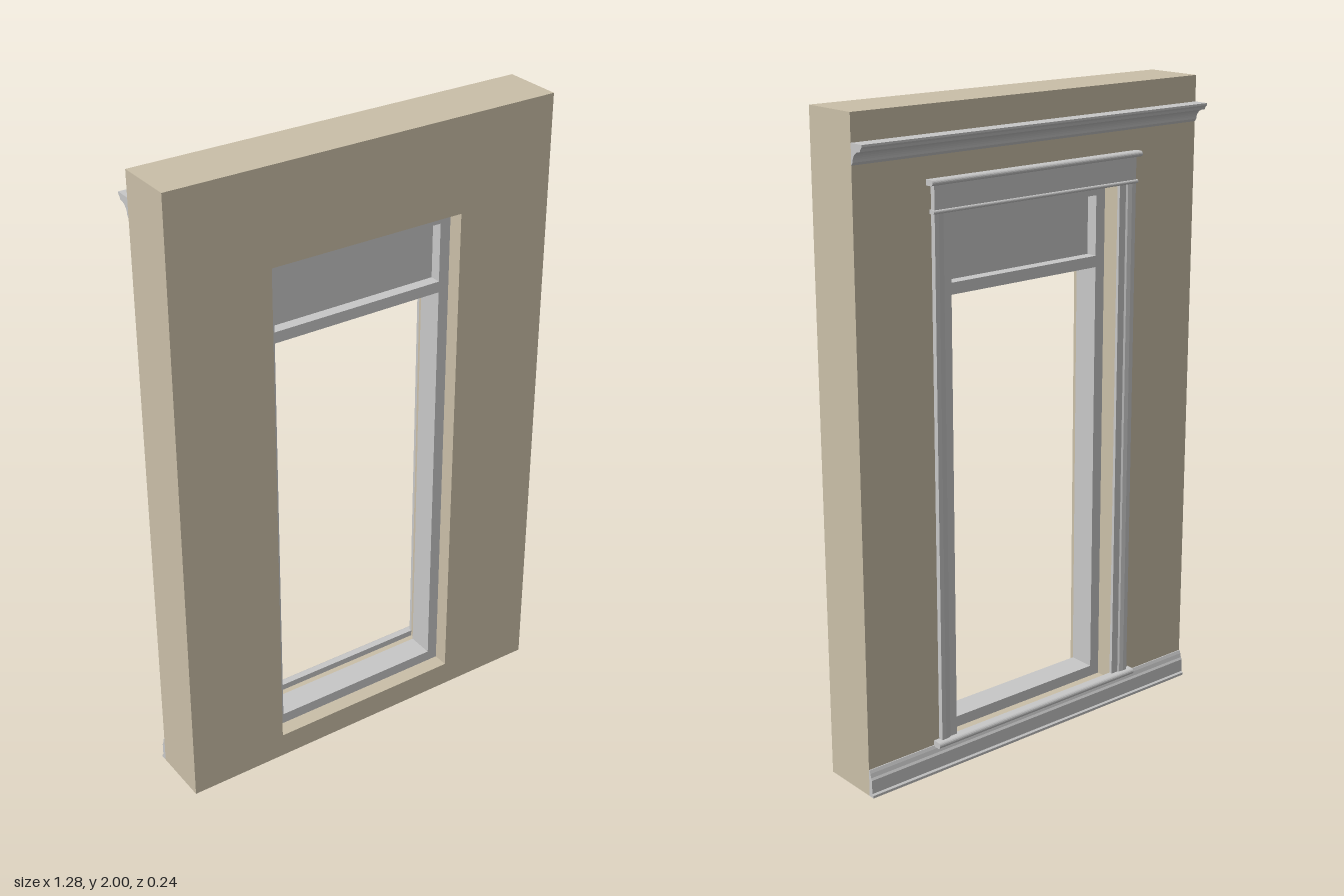
import * as THREE from 'three';

const plaster = new THREE.MeshStandardMaterial({ color: 0xcabfa8 });
plaster.name = 'plaster beige';
const trim = new THREE.MeshStandardMaterial({ color: 0xc8c8c8 });
trim.name = 'trim grey';

const BACK = 0.07; // the wall's moulded face lies at z = -BACK

function rect(path, x0, y0, x1, y1) {
  path.moveTo(x0, y0);
  path.lineTo(x1, y0);
  path.lineTo(x1, y1);
  path.lineTo(x0, y1);
  path.closePath();
  return path;
}

function add(group, name, geometry, material) {
  const mesh = new THREE.Mesh(geometry, material);
  mesh.name = name;
  group.add(mesh);
  return mesh;
}

// Flat panel with rectangular openings, between two depths
function pierced(outer, holes, zBack, zFront) {
  const shape = rect(new THREE.Shape(), ...outer);
  for (const h of holes) shape.holes.push(rect(new THREE.Path(), ...h));
  return new THREE.ExtrudeGeometry(shape, { depth: zFront - zBack, bevelEnabled: false }).translate(0, 0, zBack);
}

const toShape = (points) => new THREE.Shape(points.map(([a, b]) => new THREE.Vector2(a, b)));

// Horizontal moulding: profile of [projection, height], run along x
function moulding(points, halfWidth) {
  return new THREE.ExtrudeGeometry(toShape(points), { depth: halfWidth * 2, bevelEnabled: false })
    .rotateY(Math.PI / 2).translate(-halfWidth, 0, -BACK);
}

// Upright moulding: profile of [x, projection], run along y
function upright(points, y0, y1) {
  return new THREE.ExtrudeGeometry(toShape(points), { depth: y1 - y0, bevelEnabled: false })
    .rotateX(-Math.PI / 2).translate(0, y0, -BACK);
}

// Rounded nose profile between two heights
function nose(y0, y1, projection) {
  const r = (y1 - y0) / 2;
  const points = [[0, y0]];
  for (let i = 0; i <= 8; i++) {
    const a = -Math.PI / 2 + (i / 8) * Math.PI;
    points.push([projection - r + r * Math.cos(a), y0 + r + r * Math.sin(a)]);
  }
  points.push([0, y1]);
  return points;
}

export function createModel() {
  const model = new THREE.Group();
  model.name = 'wallWithWindow';

  // Wall with its opening
  add(model, 'wall', pierced([-0.64, 0, 0.64, 2], [[-0.32, 0.08, 0.32, 1.705]], -BACK, 0.12), plaster);

  // Window frame with a closed panel over a clear light
  add(model, 'windowFrame', pierced([-0.32, 0.08, 0.32, 1.705],
    [[-0.285, 0.115, 0.285, 1.445], [-0.285, 1.48, 0.285, 1.665]], -0.015, 0.07), trim);
  add(model, 'transomPanel', new THREE.BoxGeometry(0.57, 0.185, 0.012).translate(0, 1.5725, 0.028), trim);

  // Side casings with raised edges
  for (const side of [-1, 1]) {
    const profile = [[0.32, 0], [0.32, 0.01], [0.345, 0.01], [0.35, 0.014], [0.365, 0.016], [0.38, 0.016], [0.38, 0]];
    add(model, side < 0 ? 'rightCasing' : 'leftCasing',
      upright(profile.map(([x, d]) => [x * side, d]), 0.1, 1.705), trim);
  }

  // Header board with bead and cap
  add(model, 'header', moulding([[0, 1.705], [0.016, 1.705], [0.016, 1.785], [0, 1.785]], 0.38), trim);
  add(model, 'headerBead', moulding(nose(1.7, 1.712, 0.021), 0.385), trim);
  add(model, 'headerCap', moulding(nose(1.78, 1.797, 0.028), 0.395), trim);

  // Sill nosing
  add(model, 'sill', moulding(nose(0.08, 0.1, 0.03), 0.4), trim);

  // Baseboard with a foot strip and stepped top
  add(model, 'baseboard', moulding([[0, 0], [0.02, 0], [0.02, 0.008], [0.014, 0.012], [0.014, 0.055],
    [0.01, 0.062], [0.007, 0.075], [0.003, 0.085], [0, 0.085]], 0.64), trim);

  // Crown moulding with a coved underside
  const crown = [[0, 1.86]];
  for (let i = 0; i <= 8; i++) {
    const a = (i / 8) * Math.PI / 2;
    crown.push([0.04 - 0.034 * Math.cos(a), 1.868 + 0.032 * Math.sin(a)]);
  }
  crown.push([0.044, 1.908], [0.05, 1.914], [0.05, 1.92], [0, 1.92]);
  add(model, 'crown', moulding(crown, 0.64), trim);

  return model;
}
